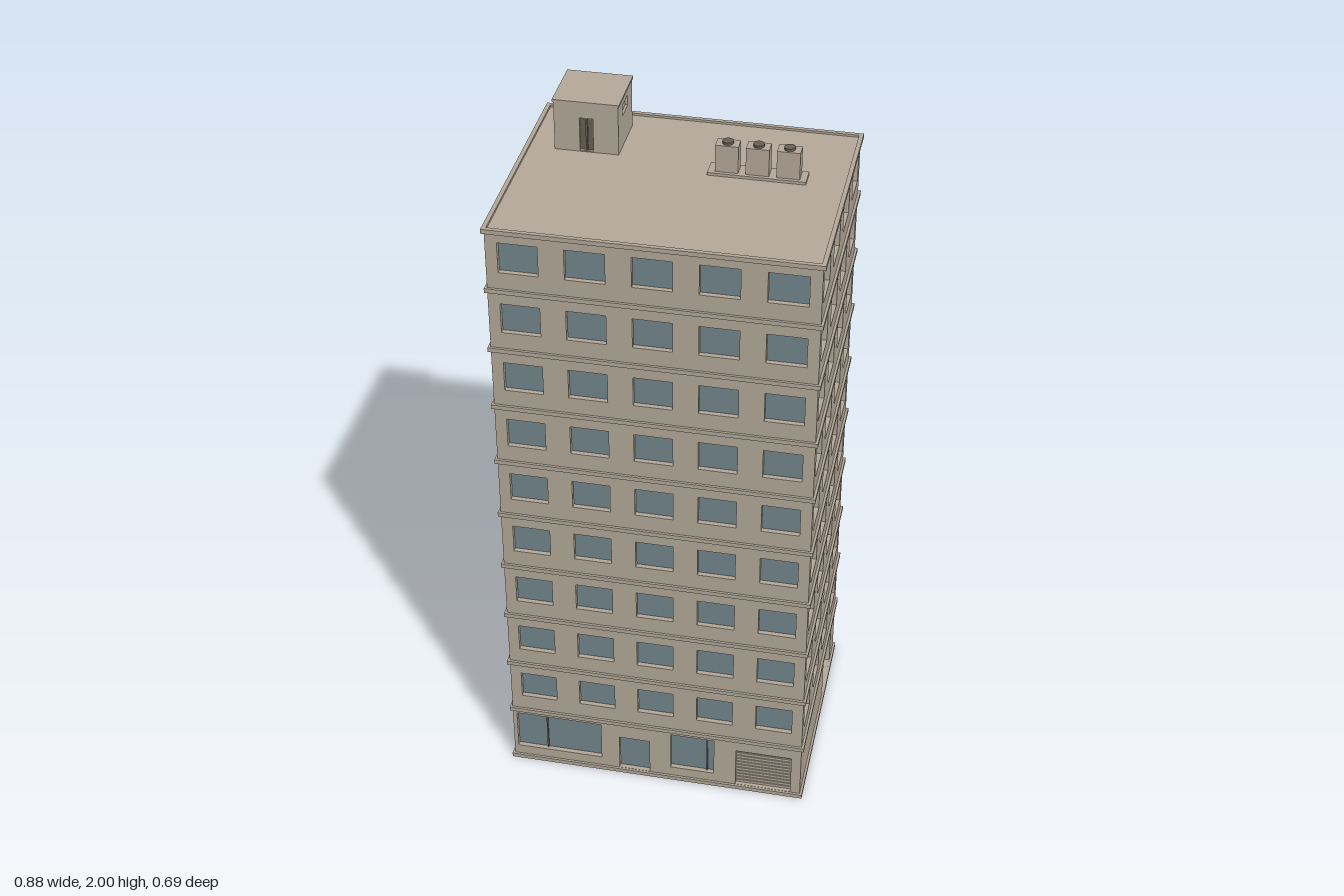
import * as THREE from 'three';

const mat = (name, color, side = THREE.FrontSide) => {
  const m = new THREE.MeshStandardMaterial({ color, side });
  m.name = name;
  return m;
};

export function createModel() {
  const stone = mat('stone', 0xb5aa9a);
  const glass = mat('glass', 0x73868d, THREE.DoubleSide);
  const dark = mat('dark brown', 0x6a6155);

  const model = new THREE.Group();
  model.name = 'officeTower';

  const W = 0.435, D = 0.337, T = 0.015; // half width, half depth, wall thickness
  const H = 1.85, FLOOR = 0.1846;

  const add = (parent, name, geo, material, x = 0, y = 0, z = 0) => {
    const mesh = new THREE.Mesh(geo, material);
    mesh.name = name;
    mesh.position.set(x, y, z);
    parent.add(mesh);
    return mesh;
  };
  // Box given by its limits
  const box = (parent, name, material, x0, x1, y0, y1, z0, z1) =>
    add(parent, name, new THREE.BoxGeometry(x1 - x0, y1 - y0, z1 - z0), material,
      (x0 + x1) / 2, (y0 + y1) / 2, (z0 + z1) / 2);

  const rect = (Type, x0, x1, y0, y1) => {
    const p = new Type();
    p.moveTo(x0, y0);
    p.lineTo(x1, y0);
    p.lineTo(x1, y1);
    p.lineTo(x0, y1);
    p.closePath();
    return p;
  };

  // Wall facing local +z with rectangular openings [x0, x1, y0, y1, filling]
  function wall(parent, name, half, height, dist, turn, openings, t = T) {
    const side = new THREE.Group();
    side.name = name;
    side.rotation.y = turn;
    parent.add(side);
    const shape = rect(THREE.Shape, -half, half, 0, height);
    for (const o of openings) shape.holes.push(rect(THREE.Path, o[0], o[1], o[2], o[3]));
    add(side, 'wallPanel', new THREE.ExtrudeGeometry(shape, { depth: t, bevelEnabled: false }),
      stone, 0, 0, dist - t);
    // Recessed filling of each opening
    for (const [x0, x1, y0, y1, fill] of openings) {
      if (!fill) continue;
      add(side, fill === glass ? 'windowPane' : 'recessedPanel',
        new THREE.PlaneGeometry(x1 - x0, y1 - y0), fill,
        (x0 + x1) / 2, (y0 + y1) / 2, dist - t + 0.001);
    }
    return side;
  }

  // Nine rows of windows
  const windows = (columns) => {
    const list = [];
    for (let f = 0; f < 9; f++) {
      for (const x of columns) {
        const y = 0.252 + f * FLOOR;
        list.push([x - 0.053, x + 0.053, y, y + 0.089, glass]);
      }
    }
    return list;
  };
  const wide = windows([-0.35, -0.175, 0, 0.175, 0.35]);
  const narrow = windows([-0.256, -0.085, 0.085, 0.256]);

  // Four facades; the street front has shop windows, entrance and garage
  const front = wall(model, 'frontFacade', W, H, D, 0, [
    ...wide,
    [-0.423, -0.166, 0.045, 0.177, glass],
    [-0.111, -0.019, 0.014, 0.137, glass],
    [0.045, 0.175, 0.045, 0.177, glass],
    [0.241, 0.406, 0.014, 0.15, stone],
  ]);
  wall(model, 'backFacade', W, H, D, Math.PI, wide);
  const left = wall(model, 'leftFacade', D - T, H, W, Math.PI / 2,
    [...narrow, [0.106, 0.259, 0.014, 0.14, null]]);
  wall(model, 'rightFacade', D - T, H, W, -Math.PI / 2, narrow);

  // Shop window mullions
  for (const x of [-0.333, 0.153])
    box(front, 'shopMullion', dark, x - 0.002, x + 0.002, 0.045, 0.177, D - T, D - T + 0.006);

  // Garage shutter slats
  for (let i = 0; i < 11; i++) {
    const y = 0.016 + i * 0.0122;
    box(front, 'shutterSlat', stone, 0.241, 0.406, y, y + 0.009, D - T, D - T + 0.005);
  }

  // Deep side doorway: jambs, head, sill and door
  const zo = W - T, zi = W - 0.05;
  box(left, 'sideDoor', dark, 0.106, 0.259, 0.014, 0.14, zi - 0.006, zi);
  box(left, 'doorJamb', dark, 0.1, 0.106, 0.014, 0.14, zi, zo);
  box(left, 'doorJamb', dark, 0.259, 0.265, 0.014, 0.14, zi, zo);
  box(left, 'doorHead', dark, 0.1, 0.265, 0.14, 0.146, zi, zo);
  box(left, 'doorSill', dark, 0.1, 0.265, 0.008, 0.014, zi, zo);

  // Ledges around each floor, at the base and as parapet
  const ringShape = rect(THREE.Shape, -0.442, 0.442, -0.344, 0.344);
  ringShape.holes.push(rect(THREE.Path, -0.43, 0.43, -0.332, 0.332));
  const ringGeo = new THREE.ExtrudeGeometry(ringShape, { depth: 0.013, bevelEnabled: false });
  ringGeo.rotateX(-Math.PI / 2);
  for (let f = 0; f < 11; f++) {
    const y = f === 0 ? 0 : 0.19 + (f - 1) * FLOOR - (f === 10 ? 0.007 : 0);
    add(model, f === 10 ? 'parapet' : 'ledge', ringGeo, stone, 0, y, 0);
  }

  // Roof slab
  box(model, 'roof', stone, -0.431, 0.431, 1.838, 1.851, -0.333, 0.333);

  // Stair house on the roof
  const house = new THREE.Group();
  house.name = 'stairHouse';
  house.position.set(-0.273, 1.851, -0.1915);
  model.add(house);
  const hw = 0.088, hd = 0.084, hh = 0.142, ht = 0.008;
  const houseFront = wall(house, 'houseFront', hw, hh, hd, 0, [[-0.018, 0.019, 0.003, 0.1, dark]], ht);
  box(houseFront, 'houseDoorPost', dark, -0.002, 0.003, 0.003, 0.1, hd - ht, hd - 0.002);
  wall(house, 'houseBack', hw, hh, hd, Math.PI, [], ht);
  wall(house, 'houseLeft', hd - ht, hh, hw, Math.PI / 2, [[-0.032, 0.031, 0.09, 0.12, stone]], ht);
  wall(house, 'houseRight', hd - ht, hh, hw, -Math.PI / 2, [], ht);
  box(house, 'houseRoof', stone, -0.091, 0.091, hh, 0.149, -0.087, 0.087);

  // Cooling units on a shared plinth
  box(model, 'coolingPlinth', stone, 0.066, 0.329, 1.85, 1.859, -0.107, -0.05);
  for (const x of [0.116, 0.198, 0.28]) {
    box(model, 'coolingUnit', stone, x - 0.031, x + 0.031, 1.858, 1.937, -0.099, -0.06);
    add(model, 'coolingFan', new THREE.CylinderGeometry(0.015, 0.015, 0.008, 16), dark, x, 1.94, -0.0795);
  }

  return model;
}
